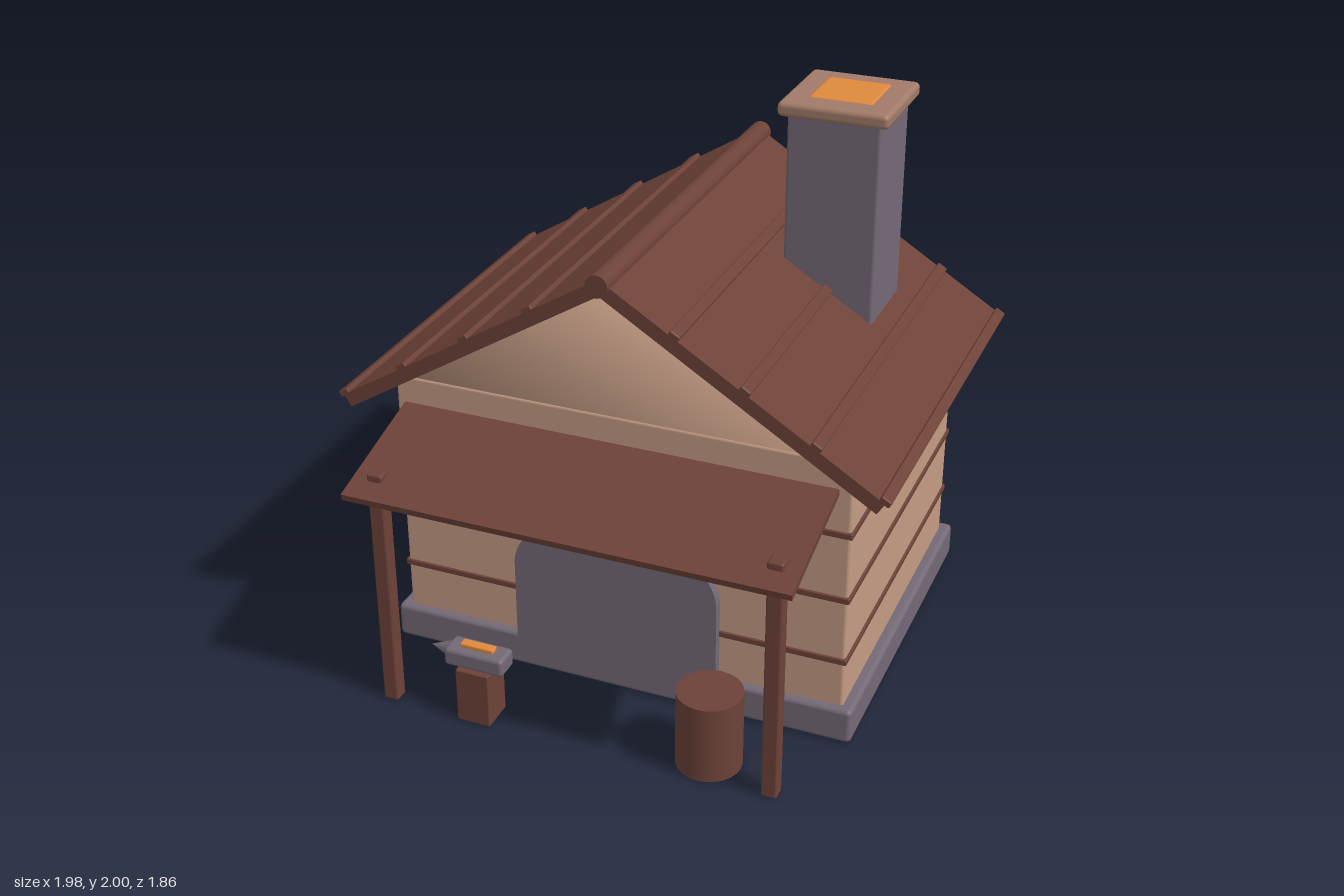
import * as THREE from 'three';
import { mergeVertices } from 'three/addons/utils/BufferGeometryUtils.js';
import { RoundedBoxGeometry } from 'three/addons/geometries/RoundedBoxGeometry.js';

const paint = (name, color) => {
  const m = new THREE.MeshStandardMaterial({ color });
  m.name = name;
  return m;
};

export function createModel() {
  const model = new THREE.Group();
  model.name = 'smithy';
  const plaster = paint('plaster', 0xc49c84);
  const wood = paint('darkWood', 0x6d4238);
  const stone = paint('stone', 0x746976);
  const clay = paint('clay', 0xa27b69);
  const ember = paint('ember', 0xe08a3c);

  const add = (name, geometry, material, x = 0, y = 0, z = 0, parent = model) => {
    const mesh = new THREE.Mesh(geometry, material);
    mesh.name = name;
    mesh.position.set(x, y, z);
    parent.add(mesh);
    return mesh;
  };
  // Box given by its extents, with softened edges when r > 0
  const block = (name, material, [x0, x1], [y0, y1], [z0, z1], r = 0) => {
    const size = [x1 - x0, y1 - y0, z1 - z0];
    const geo = r ? new RoundedBoxGeometry(...size, 2, r) : new THREE.BoxGeometry(...size);
    return add(name, geo, material, (x0 + x1) / 2, (y0 + y1) / 2, (z0 + z1) / 2);
  };

  // Plinth and walls
  block('plinth', stone, [-0.87, 0.87], [0.003, 0.135], [-0.83, 0.49], 0.018);
  block('walls', plaster, [-0.83, 0.83], [0, 1.08], [-0.79, 0.46], 0.012);
  for (const y of [0.315, 0.56, 0.81]) {
    block('wallBand', wood, [-0.837, 0.837], [y - 0.012, y + 0.012], [-0.797, 0.467], 0.005);
  }

  // Softly shaded gable prism
  const triangle = new THREE.Shape([[-0.83, 1.08], [0.83, 1.08], [0, 1.58]].map(p => new THREE.Vector2(...p)));
  let gable = new THREE.ExtrudeGeometry(triangle, { depth: 1.25, bevelEnabled: false });
  gable.deleteAttribute('normal');
  gable.deleteAttribute('uv');
  gable = mergeVertices(gable);
  gable.computeVertexNormals();
  add('gable', gable, plaster, 0, 0, -0.79);

  // Roof slopes with battens, and the ridge pole
  const pitch = Math.atan(0.62);
  const slopeLength = 0.955 / Math.cos(pitch);
  for (const side of [-1, 1]) {
    const slope = new THREE.Group();
    slope.name = side > 0 ? 'leftRoof' : 'rightRoof';
    slope.position.set(0, 1.602, -0.165);
    slope.rotation.z = -side * pitch;
    model.add(slope);
    add('roofSlab', new THREE.BoxGeometry(slopeLength, 0.05, 1.49), wood, side * slopeLength / 2, 0, 0, slope);
    for (const x of [0.24, 0.48, 0.72, 0.952]) {
      add('batten', new RoundedBoxGeometry(0.04, 0.024, 1.49, 2, 0.005), wood,
        side * x / Math.cos(pitch), 0.029, 0, slope);
    }
  }
  const ridge = new THREE.CylinderGeometry(0.04, 0.04, 1.525, 16).rotateX(Math.PI / 2);
  add('ridgePole', ridge, wood, 0, 1.612, -0.167);

  // Chimney with a glowing mouth
  block('chimney', stone, [0.33, 0.66], [1.1, 1.96], [-0.58, -0.25], 0.012);
  block('chimneyCap', clay, [0.3, 0.69], [1.944, 1.996], [-0.613, -0.223], 0.018);
  block('chimneyGlow', ember, [0.38, 0.612], [1.97, 2], [-0.54, -0.308], 0.014);

  // Arched forge mouth on the front wall
  const arch = new THREE.Shape();
  arch.moveTo(-0.38, 0.1);
  arch.lineTo(0.38, 0.1);
  arch.lineTo(0.38, 0.435);
  arch.absellipse(0, 0.435, 0.38, 0.25, 0, Math.PI, false);
  arch.closePath();
  add('forgeArch', new THREE.ExtrudeGeometry(arch, { depth: 0.045, bevelEnabled: false, curveSegments: 24 }),
    stone, 0, 0, 0.45);

  // Awning on two posts that pass through it
  const drop = Math.atan2(0.125, 0.45);
  const awning = add('awning', new THREE.BoxGeometry(1.575, 0.026, 0.47), wood, 0, 0.915, 0.702);
  awning.rotation.x = drop;
  for (const x of [-0.705, 0.705]) {
    block('awningPost', wood, [x - 0.028, x + 0.028], [0, 0.912], [0.797, 0.853], 0.008);
  }

  // Anvil on its stump, with a hot bar on top
  block('stump', wood, [-0.435, -0.31], [0, 0.21], [0.74, 0.865], 0.006);
  block('anvilBody', stone, [-0.485, -0.262], [0.207, 0.275], [0.755, 0.85], 0.015);
  const horn = new THREE.ConeGeometry(0.032, 0.08, 12).rotateZ(Math.PI / 2);
  add('anvilHorn', horn, stone, -0.515, 0.245, 0.802);
  block('hotBar', ember, [-0.435, -0.31], [0.272, 0.29], [0.785, 0.82], 0.005);

  // Quenching barrel
  add('barrel', new THREE.CylinderGeometry(0.115, 0.115, 0.29, 24), wood, 0.455, 0.145, 0.745);

  return model;
}
